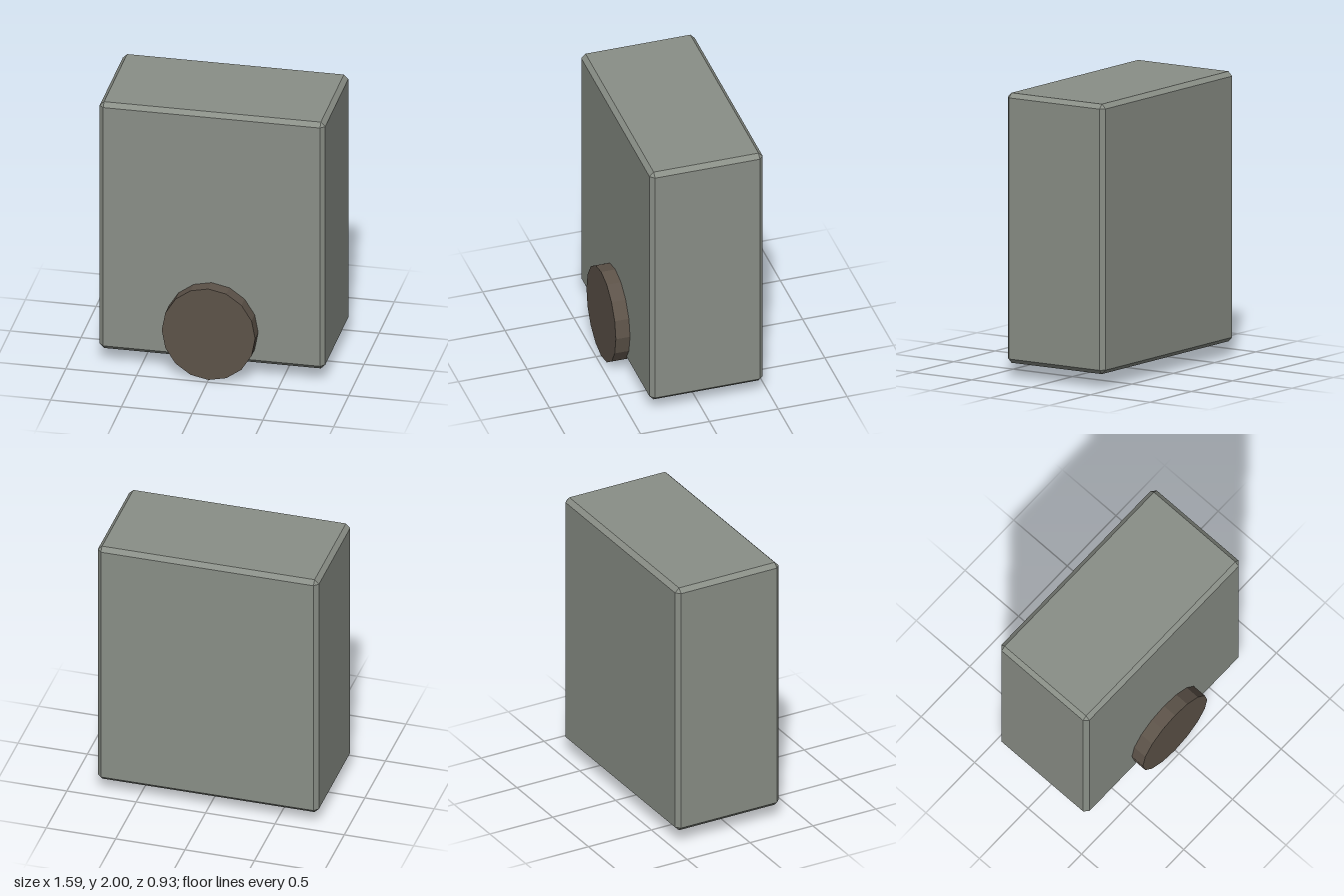
import * as THREE from 'three';
import { ConvexGeometry } from 'three/addons/geometries/ConvexGeometry.js';

// Box with flat bevelled edges: each corner is cut into three points
function chamferBox(w, h, d, c) {
  const points = [];
  for (const sx of [-1, 1]) for (const sy of [-1, 1]) for (const sz of [-1, 1]) {
    const x = w / 2, y = h / 2, z = d / 2;
    points.push(
      new THREE.Vector3(sx * x, sy * (y - c), sz * (z - c)),
      new THREE.Vector3(sx * (x - c), sy * y, sz * (z - c)),
      new THREE.Vector3(sx * (x - c), sy * (y - c), sz * z)
    );
  }
  return new ConvexGeometry(points);
}

function addPart(group, name, geometry, color) {
  const material = new THREE.MeshStandardMaterial({ color, flatShading: true });
  const mesh = new THREE.Mesh(geometry, material);
  mesh.name = name;
  group.add(mesh);
  return mesh;
}

export function createModel() {
  const model = new THREE.Group();
  model.name = 'boxWithDisc';

  // Bevelled body
  const body = addPart(model, 'body', chamferBox(1.594, 1.897, 0.823, 0.031), 0x8a8f87);
  body.position.set(0, 1.0515, -0.0515);

  // Slightly oval 16-sided disc sunk into the lower front
  const discGeometry = new THREE.CylinderGeometry(0.35, 0.35, 0.2, 16);
  discGeometry.rotateX(Math.PI / 2);
  discGeometry.scale(0.33 / 0.35, 1, 1);
  const disc = addPart(model, 'frontDisc', discGeometry, 0x5d5349);
  disc.position.set(0, 0.35, 0.363);

  return model;
}
